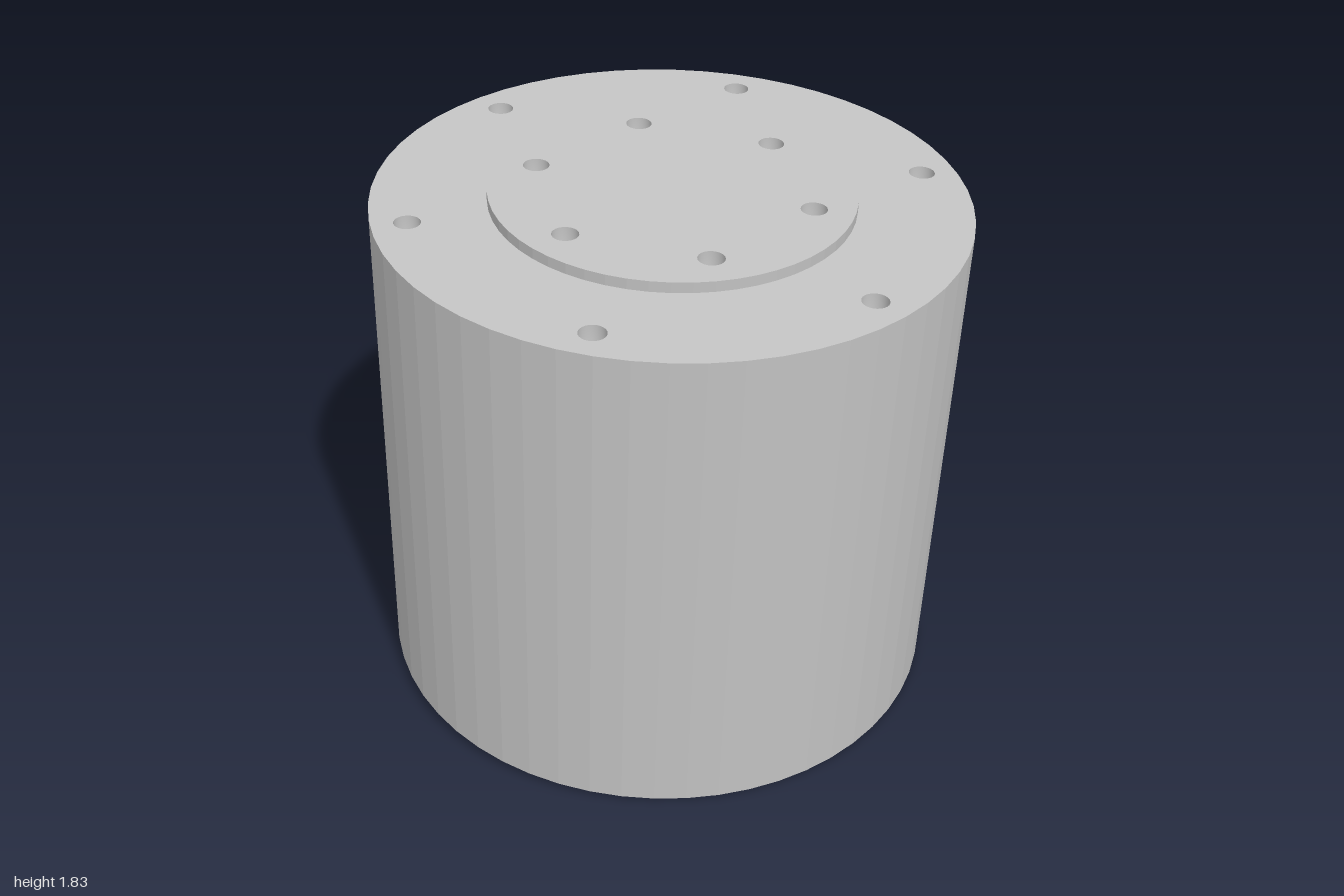
import * as THREE from 'three';

const BODY_R = 0.965, BODY_H = 1.73, DISC_R = 0.592, DISC_H = 0.036;
const SIDES = 56, HOLE_SIDES = 24, TILT = 0.0413;

// Regular polygon points around (cx, cy)
function ring(r, n, cx = 0, cy = 0) {
  return Array.from({ length: n }, (_, i) => {
    const a = (i / n) * Math.PI * 2;
    return new THREE.Vector2(cx + r * Math.cos(a), cy + r * Math.sin(a));
  });
}

// Faceted normals
function faceted(geometry) {
  const flat = geometry.toNonIndexed();
  flat.computeVertexNormals();
  return flat;
}

// Horizontal disc with openings, facing up (dir = 1) or down (dir = -1)
function plate(r, openings, y, dir) {
  const shape = new THREE.Shape(ring(r, SIDES));
  openings.forEach(points => shape.holes.push(new THREE.Path(points)));
  return new THREE.ShapeGeometry(shape).rotateX(-dir * Math.PI / 2).translate(0, y, 0);
}

// Open vertical wall
function wall(r, h, y) {
  return faceted(new THREE.CylinderGeometry(r, r, h, SIDES, 1, true).translate(0, y + h / 2, 0));
}

// Drilled blind hole with a conical tip, mouth at y = 0
function drillHole(r, depth) {
  return new THREE.LatheGeometry([
    new THREE.Vector2(r, 0),
    new THREE.Vector2(r, -depth),
    new THREE.Vector2(0, -depth - r * 0.58),
  ], HOLE_SIDES);
}

export function createModel() {
  const model = new THREE.Group();
  model.name = 'flangedCylinder';
  const grey = new THREE.MeshStandardMaterial({ color: 0xc4c4c4 });
  grey.name = 'metal grey';

  // Whole part leans slightly forward, resting on its front lower rim
  const part = new THREE.Group();
  part.name = 'tiltedCylinder';
  part.rotation.x = TILT;
  part.position.set(0, 0.04, -0.036);
  model.add(part);

  const add = (name, geometry) => {
    const mesh = new THREE.Mesh(geometry, grey);
    mesh.name = name;
    part.add(mesh);
    return mesh;
  };

  // Bolt circle: adds the holes and returns their openings
  const boltCircle = (name, count, circleR, start, r, depth, y, dir) => {
    const geometry = drillHole(r, depth);
    return Array.from({ length: count }, (_, i) => {
      const a = start + (i / count) * Math.PI * 2;
      const x = circleR * Math.cos(a), v = circleR * Math.sin(a);
      const hole = add(name, geometry);
      hole.position.set(x, y, -dir * v);
      if (dir < 0) hole.rotation.x = Math.PI;
      return ring(r, HOLE_SIDES, x, v);
    });
  };

  const top = BODY_H + DISC_H;
  const outer = boltCircle('outerBoltHole', 6, 0.85, Math.PI / 2, 0.043, 0.14, BODY_H, 1);
  const inner = boltCircle('innerBoltHole', 6, 0.46, 0, 0.043, 0.14, top, 1);
  const base = boltCircle('baseHole', 4, 0.645, Math.PI / 4, 0.04, 0.14, 0, -1);

  // Main body
  add('bodyWall', wall(BODY_R, BODY_H, 0));
  add('bodyTop', plate(BODY_R, [ring(DISC_R, SIDES), ...outer], BODY_H, 1));
  add('bodyBottom', plate(BODY_R, base, 0, -1));

  // Raised centre disc
  add('discWall', wall(DISC_R, DISC_H, BODY_H));
  add('discTop', plate(DISC_R, inner, top, 1));

  return model;
}
